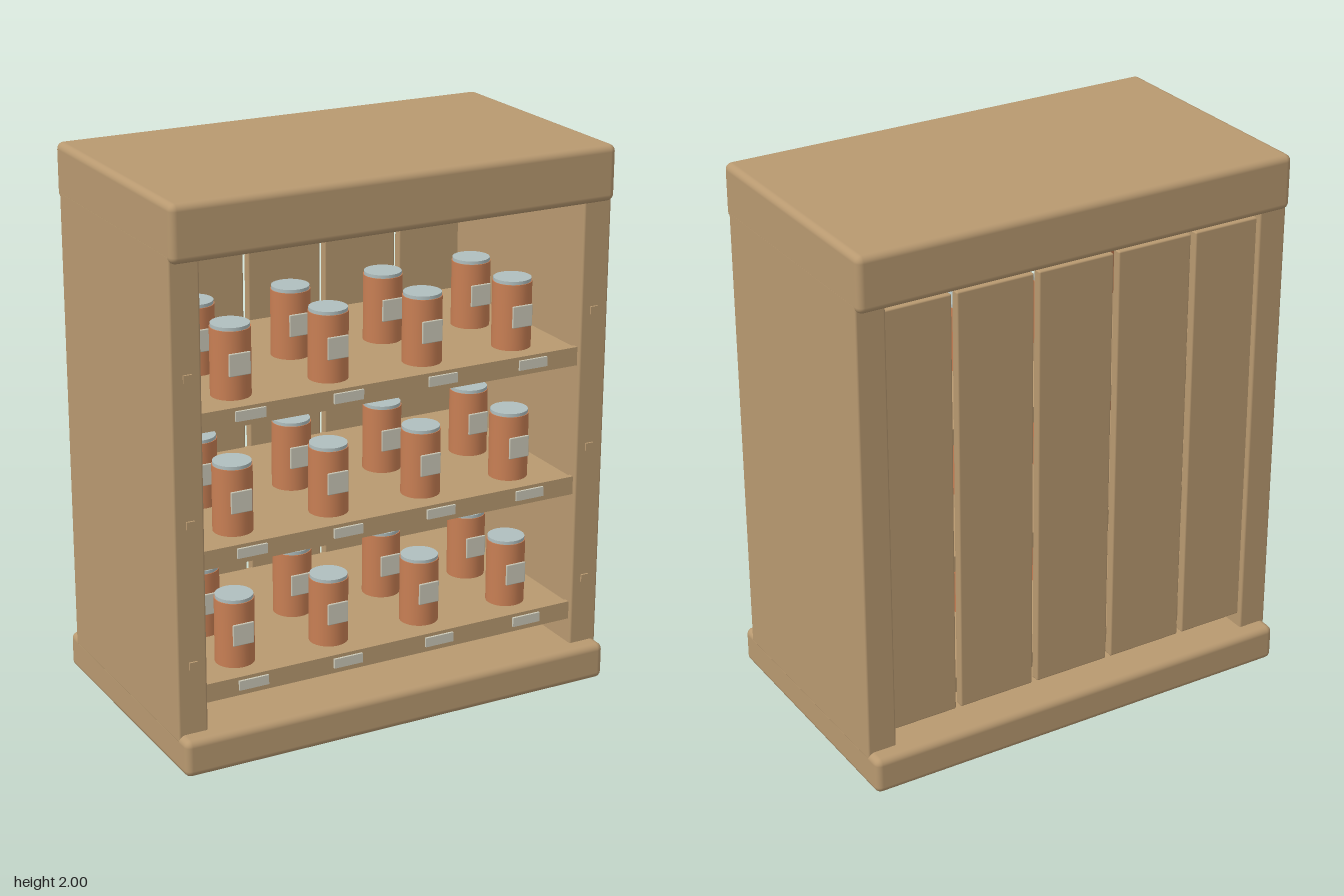
import * as THREE from 'three';
import { RoundedBoxGeometry } from 'three/addons/geometries/RoundedBoxGeometry.js';

const material = (name, color) => {
  const m = new THREE.MeshStandardMaterial({ color });
  m.name = name;
  return m;
};

export function createModel() {
  const wood = material('wood', 0xb89970);
  const orange = material('can orange', 0xc87f54);
  const paper = material('paper', 0xcac8b7);
  const metal = material('lid metal', 0xb0bebe);

  const model = new THREE.Group();
  model.name = 'shelfCabinet';

  const add = (parent, name, geometry, mat, x, y, z) => {
    const mesh = new THREE.Mesh(geometry, mat);
    mesh.name = name;
    mesh.position.set(x, y, z);
    parent.add(mesh);
    return mesh;
  };
  // Box given by its limits on each axis, with optional rounded edges
  const block = (parent, name, mat, [x0, x1], [y0, y1], [z0, z1], r = 0) => {
    const s = [x1 - x0, y1 - y0, z1 - z0];
    const g = r ? new RoundedBoxGeometry(...s, 3, r) : new THREE.BoxGeometry(...s);
    return add(parent, name, g, mat, (x0 + x1) / 2, (y0 + y1) / 2, (z0 + z1) / 2);
  };

  // Cabinet body
  block(model, 'base', wood, [-0.84, 0.84], [0, 0.137], [-0.51, 0.51], 0.025);
  block(model, 'roof', wood, [-0.84, 0.84], [1.8, 2], [-0.475, 0.475], 0.025);
  for (const s of [-1, 1]) {
    const xs = [s * 0.785 - 0.055, s * 0.785 + 0.055];
    block(model, 'sidePanel', wood, xs, [0.11, 1.83], [-0.45, 0.45], 0.008);
    // Small pegs on the front edge
    for (const y of [0.39, 0.9, 1.41]) {
      block(model, 'peg', wood, [s * 0.782 - 0.015, s * 0.782 + 0.015],
        [y - 0.014, y + 0.014], [0.42, 0.457]);
    }
  }

  // Back planks with gaps between them
  for (let i = -2; i <= 2; i++) {
    const x = i * 0.312;
    block(model, 'backPlank', wood, [x - 0.146, x + 0.146], [0.187, 1.777], [-0.43, -0.395], 0.006);
  }

  // Can parts, shared by every can
  const r = 0.07, h = 0.24;
  const body = new THREE.CylinderGeometry(r, r, h, 32);
  const lid = new THREE.CylinderGeometry(r - 0.003, r - 0.003, 0.012, 32);
  const label = new RoundedBoxGeometry(0.08, 0.08, 0.008, 2, 0.0035);
  const tag = new THREE.BoxGeometry(0.112, 0.035, 0.009);
  const columns = [-0.55, -0.183, 0.183, 0.545];

  // Shelves with their lips, price tags and two rows of cans
  for (const top of [0.299, 0.788, 1.276]) {
    const shelf = new THREE.Group();
    shelf.name = 'shelf';
    model.add(shelf);
    block(shelf, 'shelfBoard', wood, [-0.735, 0.735], [top - 0.066, top - 0.006], [-0.4, 0.42]);
    block(shelf, 'shelfLip', wood, [-0.732, 0.732], [top - 0.068, top], [0.415, 0.435]);
    const floor = top - 0.006;
    for (const x of columns) {
      add(shelf, 'priceTag', tag, paper, x, top - 0.03, 0.439);
      for (const z of [0.29, 0.01]) {
        const can = new THREE.Group();
        can.name = 'can';
        can.position.set(x, floor, z);
        shelf.add(can);
        add(can, 'canBody', body, orange, 0, h / 2, 0);
        add(can, 'canLid', lid, metal, 0, h + 0.006, 0);
        add(can, 'canLabel', label, paper, 0, 0.126, r + 0.001);
      }
    }
  }
  return model;
}
